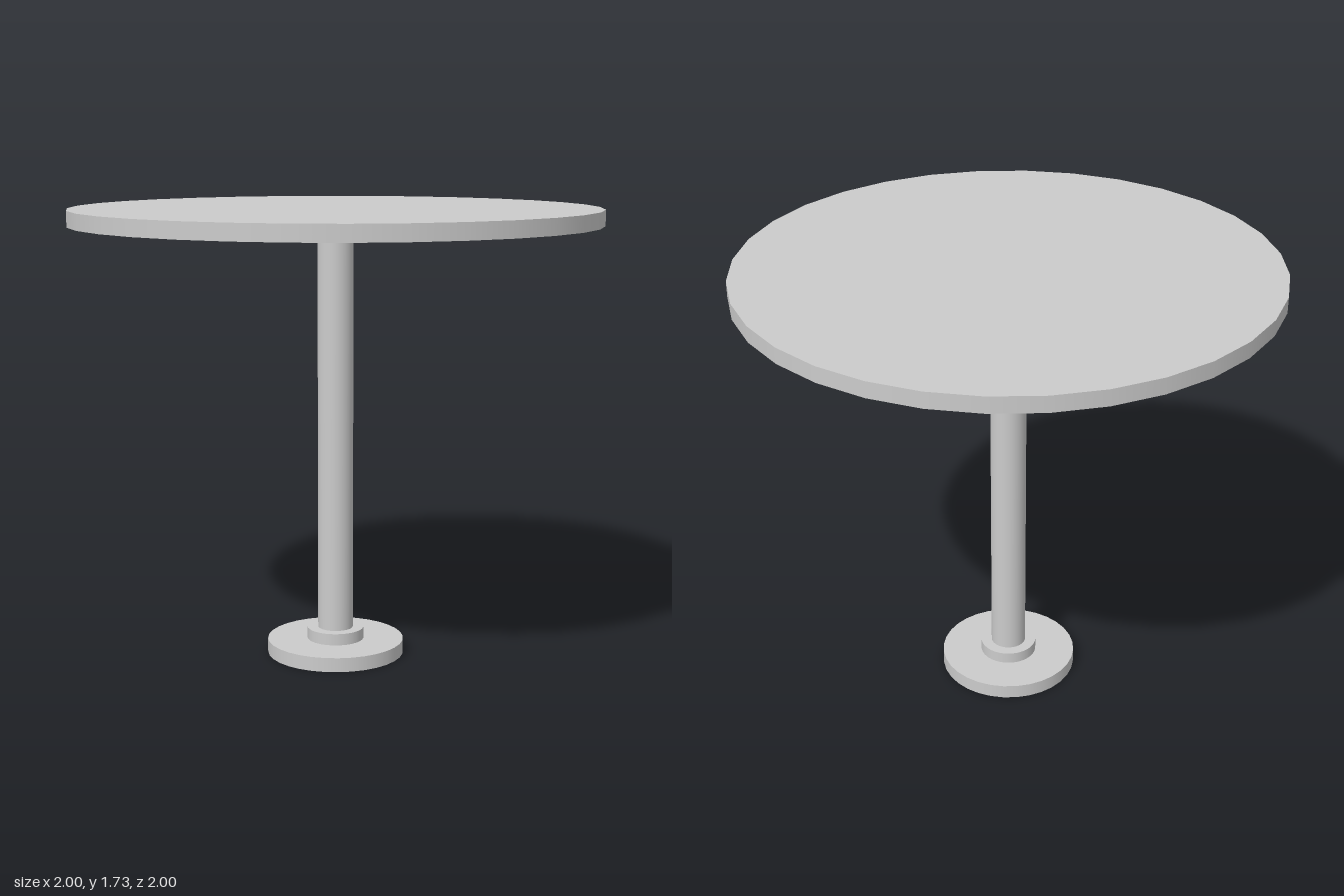
import * as THREE from 'three';

const SIDES = 32;

export function createModel() {
  const table = new THREE.Group();
  table.name = 'pedestalTable';
  const material = new THREE.MeshStandardMaterial({ color: 0xcccccc, side: THREE.DoubleSide });

  function add(name, geometry, y) {
    const mesh = new THREE.Mesh(geometry, material);
    mesh.name = name;
    mesh.position.y = y;
    table.add(mesh);
  }

  // Upright disc or tube between two heights
  function disc(name, radius, bottom, top, open = false) {
    const geometry = new THREE.CylinderGeometry(radius, radius, top - bottom, SIDES, 1, open);
    add(name, geometry, (bottom + top) / 2);
  }

  // Foot: a hollow cap, open underneath
  disc('baseRim', 0.265, 0, 0.055, true);
  add('baseTop', new THREE.CircleGeometry(0.265, SIDES).rotateX(-Math.PI / 2).rotateY(Math.PI / 2), 0.055);

  // Collar and column
  disc('collar', 0.11, 0.055, 0.1);
  disc('column', 0.068, 0.1, 1.67, true);

  // Thin mounting plate under the round top
  disc('mountingPlate', 0.092, 1.668, 1.672);
  disc('tableTop', 1, 1.67, 1.73);

  return table;
}
